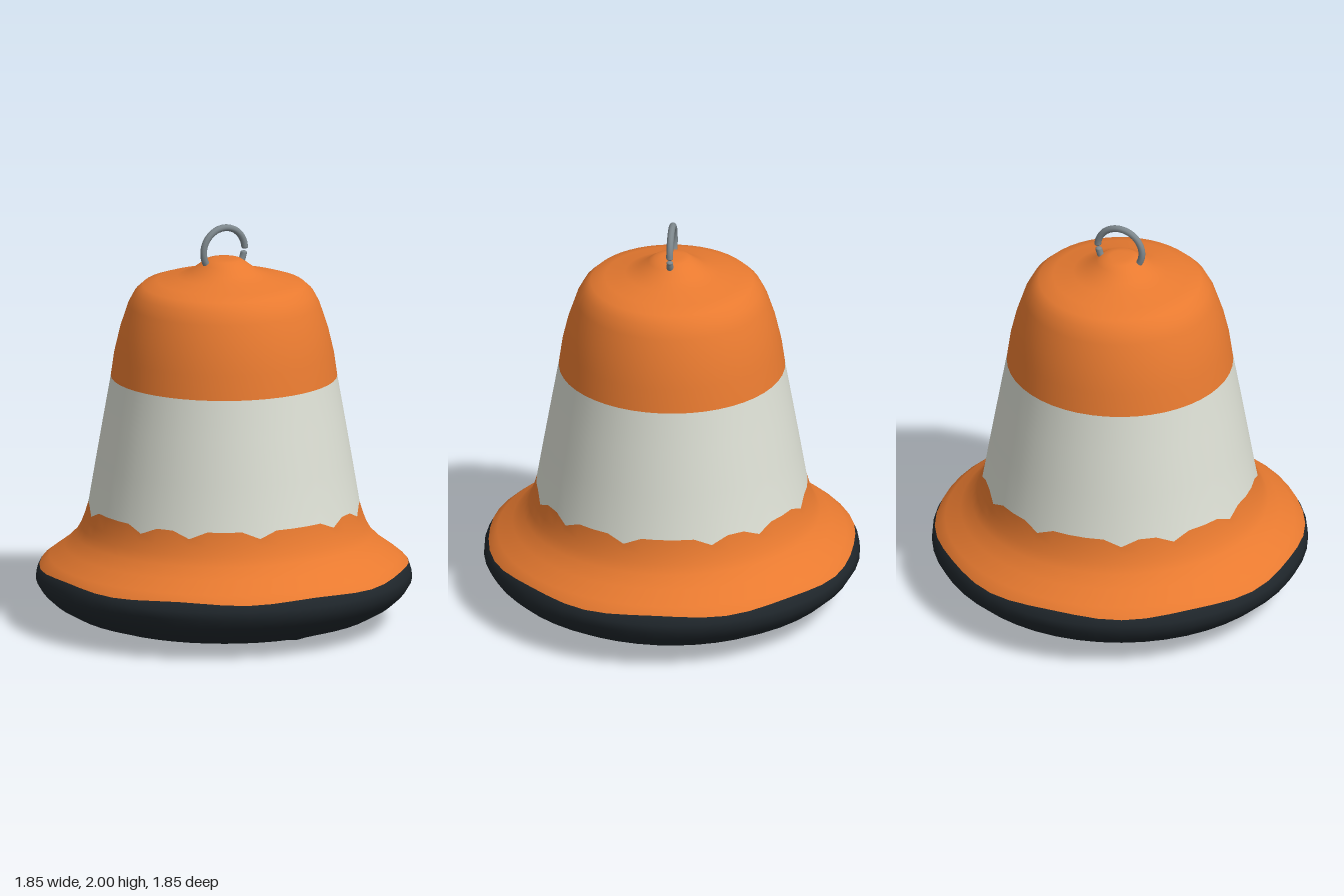
import * as THREE from 'three';

const SEGMENTS = 48;

// Body profile as [radius, height], from the underside centre up to the crown
const PROFILE = [
  [0, 0], [0.25, 0], [0.5, 0.012], [0.66, 0.038], [0.76, 0.07], [0.84, 0.115],
  [0.895, 0.165], [0.925, 0.215], [0.922, 0.255], [0.905, 0.293],
  [0.86, 0.33], [0.785, 0.385], [0.73, 0.44], [0.705, 0.485], [0.688, 0.53], [0.667, 0.6],
  [0.63, 0.82], [0.592, 1.04], [0.557, 1.24],
  [0.54, 1.36], [0.512, 1.48], [0.472, 1.6], [0.44, 1.66], [0.4, 1.697], [0.33, 1.72],
  [0.23, 1.742], [0.165, 1.768], [0.115, 1.805], [0.085, 1.825], [0.05, 1.83], [0, 1.83],
];
const ROW = { patch: 2, rim: 9, stripeLow: 15, stripeTop: 18 };

const paint = (color) => new THREE.MeshStandardMaterial({ color });

// One smooth lathe whose colour seams wander a little along the surface
function bodyGeometry() {
  const points = PROFILE.map(([r, y]) => new THREE.Vector2(r, y));
  const geometry = new THREE.LatheGeometry(points, SEGMENTS);
  const position = geometry.attributes.position;
  const slide = (i, row, newRadius, newY) => {
    const k = i * PROFILE.length + row;
    const a = (i / SEGMENTS) * Math.PI * 2;
    position.setXYZ(k, Math.sin(a) * newRadius, newY, Math.cos(a) * newRadius);
  };
  for (let i = 0; i <= SEGMENTS; i++) {
    const a = (i / SEGMENTS) * Math.PI * 2;
    // Ragged patch under the base
    slide(i, ROW.patch, 0.52 + 0.04 * Math.sin(a * 3 + 1) + 0.03 * Math.sin(a * 11), 0.012);
    // Gently waving rim seam
    const wave = 0.006 * Math.cos(a * 8);
    slide(i, ROW.rim, 0.905 - wave, 0.293 + wave);
    // Small notches along the lower stripe edge
    const drop = [10, 3, 6].includes(i % 12) ? 0.035 : 0;
    slide(i, ROW.stripeLow, 0.667 + drop * 0.28, 0.6 - drop);
  }
  return geometry;
}

// Mesh that shows only the rows from..to of the body
function band(body, name, from, to, material) {
  const geometry = body.clone();
  const rows = PROFILE.length - 1;
  const index = Array.from(body.index.array)
    .filter((_, n) => {
      const row = Math.floor(n / 6) % rows;
      return row >= from && row < to;
    });
  geometry.setIndex(index);
  const mesh = new THREE.Mesh(geometry, material);
  mesh.name = name;
  return mesh;
}

// Split wire ring, its lower end slightly tucked inward
function hangingRing() {
  const ring = new THREE.Group();
  ring.name = 'hangingRing';
  const metal = paint(0x7d878c);
  const path = [];
  for (let i = 0; i <= 32; i++) {
    const t = i / 32;
    const a = THREE.MathUtils.degToRad(4 + 346 * t);
    const r = 0.118 - 0.004 * t;
    path.push(new THREE.Vector3(Math.cos(a) * r, 1.866 + Math.sin(a) * r, 0));
  }
  const curve = new THREE.CatmullRomCurve3(path);
  const wire = new THREE.Mesh(new THREE.TubeGeometry(curve, 64, 0.017, 10), metal);
  wire.name = 'ringWire';
  ring.add(wire);
  for (const end of [path[0], path[path.length - 1]]) {
    const tip = new THREE.Mesh(new THREE.SphereGeometry(0.017, 10, 8), metal);
    tip.scale.y = 0.6;
    tip.position.copy(end);
    tip.name = 'ringTip';
    ring.add(tip);
  }
  return ring;
}

export function createModel() {
  const model = new THREE.Group();
  model.name = 'trafficConeBell';
  const orange = paint(0xe87a30);
  const body = bodyGeometry();
  model.add(
    band(body, 'undersidePatch', 0, ROW.patch, orange),
    band(body, 'rubberBase', ROW.patch, ROW.rim, paint(0x1f262b)),
    band(body, 'flaredSkirt', ROW.rim, ROW.stripeLow, orange),
    band(body, 'paleStripe', ROW.stripeLow, ROW.stripeTop, paint(0xdcdfd4)),
    band(body, 'crown', ROW.stripeTop, PROFILE.length - 1, orange),
    hangingRing(),
  );
  return model;
}
